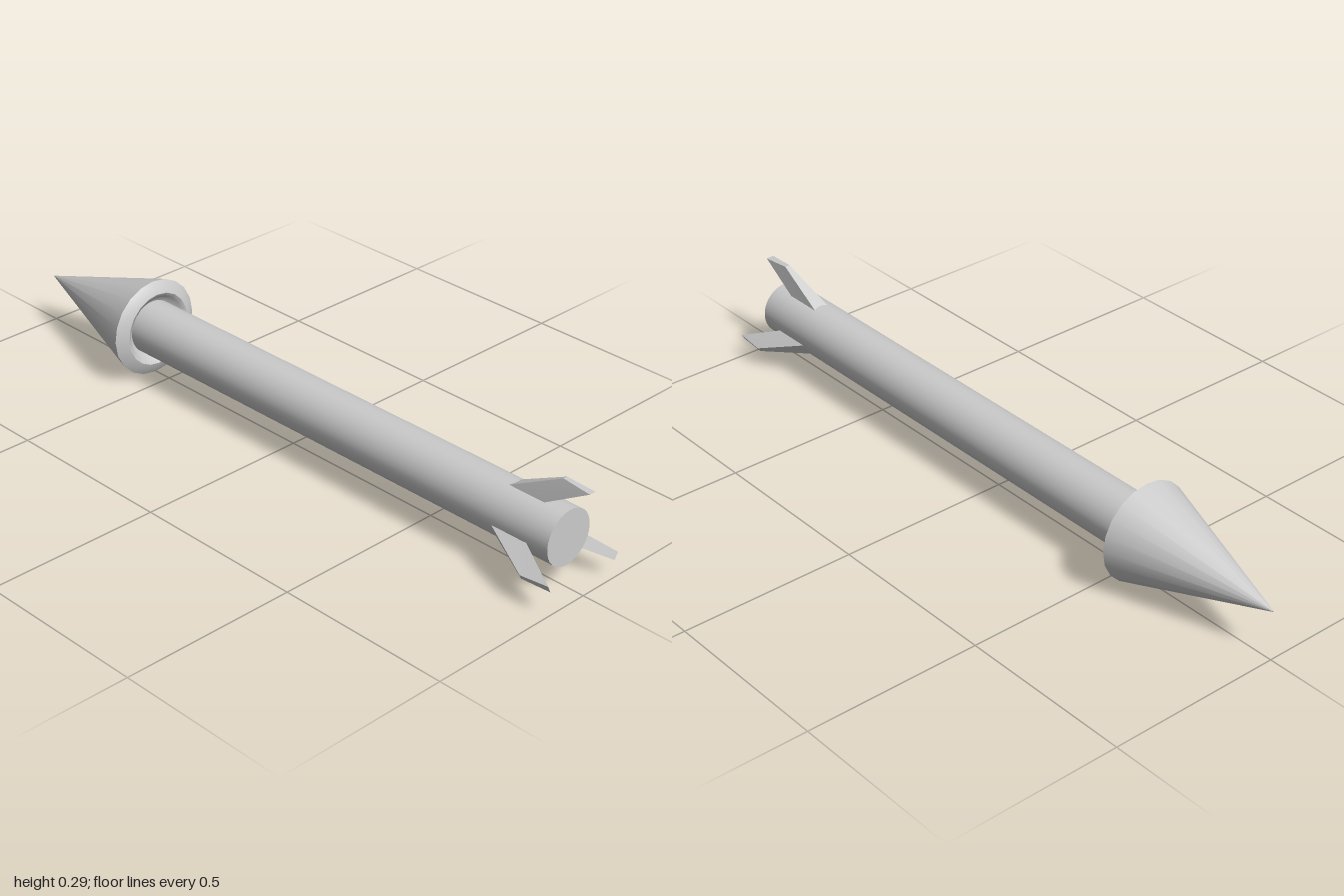
import * as THREE from 'three';
import { toCreasedNormals } from 'three/addons/utils/BufferGeometryUtils.js';

const AXIS_Y = 0.142;

export function createModel() {
  const model = new THREE.Group();
  const material = new THREE.MeshStandardMaterial({ color: 0xcccccc });
  const add = (name, geometry, parent = model) => {
    const mesh = new THREE.Mesh(geometry, material);
    mesh.name = name;
    parent.add(mesh);
    return mesh;
  };

  // Long shaft with flat ends, running along z
  const shaft = new THREE.CylinderGeometry(0.077, 0.077, 1.515, 32);
  shaft.rotateX(-Math.PI / 2).translate(-0.001, AXIS_Y, 0.1875);
  add('shaft', shaft);

  // Conical head with a rounded rear lip that dips in around the shaft
  const profile = [
    [0.06, 0.565], [0.084, 0.56], [0.094, 0.545], [0.106, 0.538],
    [0.122, 0.544], [0.14, 0.556], [0, 1],
  ].map(([r, y]) => new THREE.Vector2(r, y));
  const head = toCreasedNormals(new THREE.LatheGeometry(profile, 20), 0.8);
  head.rotateX(-Math.PI / 2).translate(-0.001, AXIS_Y, 0);
  add('head', head);

  // Swept tail fin: a box tapered from a thick root to a thin tip
  const fin = new THREE.BoxGeometry(1, 1, 1);
  const p = fin.attributes.position;
  for (let i = 0; i < p.count; i++) {
    const side = Math.sign(p.getX(i));
    const tip = p.getY(i) > 0;
    const trailing = p.getZ(i) > 0;
    if (tip) p.setXYZ(i, side * (trailing ? 0.011 : 0.007), trailing ? 0.143 : 0.149, trailing ? 1 : 0.915);
    else p.setXYZ(i, side * 0.024, 0.06, trailing ? 0.855 : 0.74);
  }
  const finGeometry = toCreasedNormals(fin, 0.2);

  // Three fins spaced evenly, with a slight roll
  const fins = new THREE.Group();
  fins.name = 'tailFins';
  for (let i = 0; i < 3; i++) {
    const mesh = add('fin' + (i + 1), finGeometry, fins);
    mesh.rotation.z = -0.07 + (i * Math.PI * 2) / 3;
  }
  fins.position.set(-0.001, AXIS_Y, 0);
  model.add(fins);

  return model;
}
